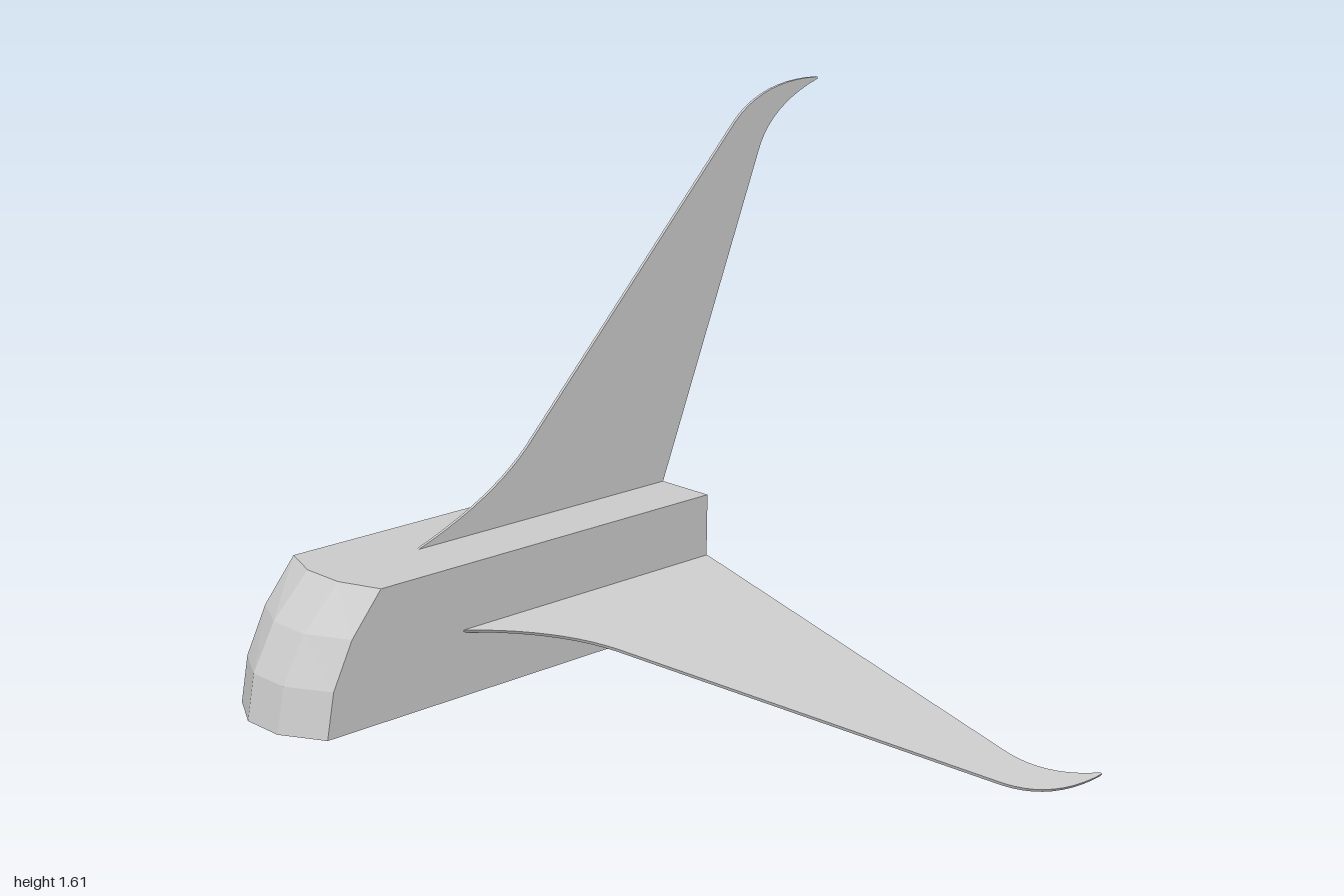
import * as THREE from 'three';

const material = new THREE.MeshStandardMaterial({ color: 0xcccccc, flatShading: true });

// Box body with a faceted nose, lofted upwards through plan sections
function createBody() {
  const back = 0.36, half = 0.16, inner = 0.055;
  // height, nose x at the middle, nose x at the sides
  const rows = [
    [0.33, -0.9, -0.84],
    [0.44, -0.88, -0.82],
    [0.55, -0.82, -0.765],
    [0.65, -0.72, -0.68],
  ];
  const positions = [], index = [], n = 6;
  for (const [y, mid, side] of rows) {
    positions.push(
      back, y, -half, back, y, half,
      side, y, half, mid, y, inner,
      mid, y, -inner, side, y, -half,
    );
  }
  for (let r = 0; r < rows.length - 1; r++) {
    for (let i = 0; i < n; i++) {
      const a = r * n + i, b = r * n + (i + 1) % n;
      index.push(a, b + n, b, a, a + n, b + n);
    }
  }
  // Bottom and top caps
  const top = (rows.length - 1) * n;
  for (let i = 1; i < n - 1; i++) {
    index.push(0, i, i + 1, top, top + i + 1, top + i);
  }
  const geometry = new THREE.BufferGeometry();
  geometry.setAttribute('position', new THREE.Float32BufferAttribute(positions, 3));
  geometry.setIndex(index);
  const flat = geometry.toNonIndexed();
  flat.computeVertexNormals();
  return flat;
}

// Thin swept fin with a curled tip, root along y = 0
function createFin() {
  const thickness = 0.008;
  const shape = new THREE.Shape();
  shape.moveTo(0.36, 0);
  shape.lineTo(0.685, 0.8);
  shape.quadraticCurveTo(0.725, 0.91, 0.9, 0.961);
  shape.lineTo(0.9, 0.966);
  shape.quadraticCurveTo(0.7, 0.978, 0.6, 0.885);
  shape.lineTo(-0.1, 0.18);
  shape.quadraticCurveTo(-0.21, 0.075, -0.44, 0);
  shape.closePath();
  const geometry = new THREE.ExtrudeGeometry(shape, {
    depth: thickness, bevelEnabled: false, curveSegments: 10,
  });
  geometry.translate(0, 0, -thickness / 2);
  return geometry;
}

export function createModel() {
  const model = new THREE.Group();
  model.name = 'finnedBody';

  const body = new THREE.Mesh(createBody(), material);
  body.name = 'body';
  model.add(body);

  // Three equal fins, 120 degrees apart
  const finGeometry = createFin();
  const fins = [
    ['upperFin', 0.65, 0, 0],
    ['frontFin', 0.49, 0.16, 1],
    ['rearFin', 0.49, -0.16, -1],
  ];
  for (const [name, y, z, turn] of fins) {
    const fin = new THREE.Mesh(finGeometry, material);
    fin.name = name;
    fin.position.set(0, y, z);
    fin.rotation.x = turn * Math.PI * 2 / 3;
    model.add(fin);
  }
  return model;
}
